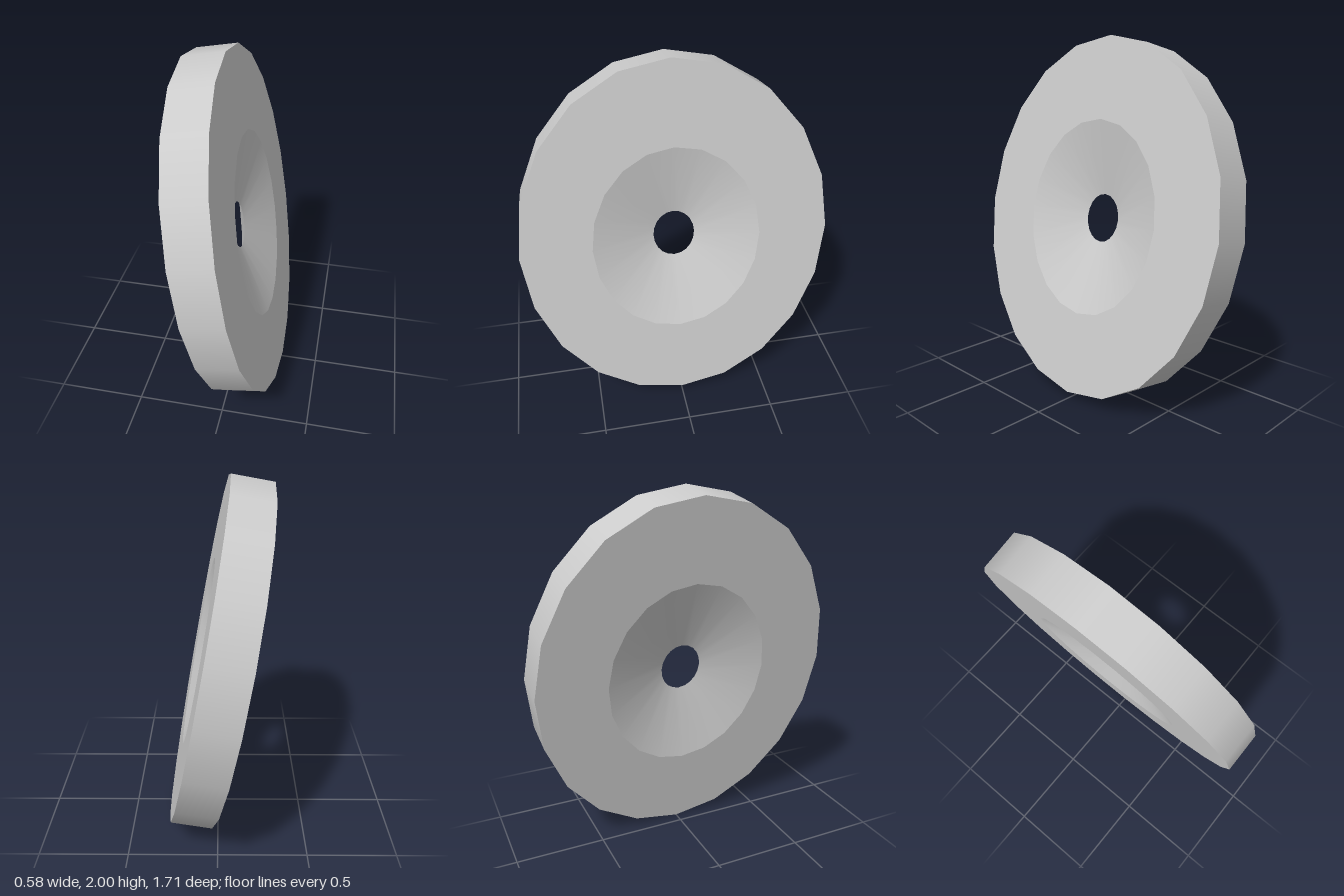
import * as THREE from 'three';

const SIDES = 20;
const HALF_THICKNESS = 0.114;
const HALF_HEIGHT = 0.995;
const HALF_WIDTH = 0.855;
const TILT = THREE.MathUtils.degToRad(10.2);

// Closed cross-section, as (radius fraction, offset along the axis)
const HOLE = 0.136, DISH = 0.545;
const profile = [
  ['rightDish', HOLE, 0],
  ['rightFace', DISH, -HALF_THICKNESS],
  ['rim', 1, -HALF_THICKNESS],
  ['leftFace', 1, HALF_THICKNESS],
  ['leftDish', DISH, HALF_THICKNESS],
  ['end', HOLE, 0],
];

export function createModel() {
  const group = new THREE.Group();
  group.name = 'tiltedDisc';
  const material = new THREE.MeshStandardMaterial({ color: 0xcccccc });

  const disc = new THREE.Group();
  disc.name = 'disc';

  // Each band is its own lathe: smooth around the axis, sharp between bands
  for (let i = 0; i < profile.length - 1; i++) {
    const [name, r0, y0] = profile[i];
    const [, r1, y1] = profile[i + 1];
    const geometry = new THREE.LatheGeometry(
      [new THREE.Vector2(r0, y0), new THREE.Vector2(r1, y1)], SIDES);
    // Lay the axis along x and stretch the circle into an ellipse
    geometry.rotateZ(-Math.PI / 2);
    geometry.scale(1, HALF_HEIGHT, HALF_WIDTH);
    const mesh = new THREE.Mesh(geometry, material);
    mesh.name = name;
    disc.add(mesh);
  }

  // Lean the disc and stand it on the ground
  disc.rotation.z = TILT;
  disc.position.y = HALF_HEIGHT * Math.cos(TILT) + HALF_THICKNESS * Math.sin(TILT);
  group.add(disc);
  return group;
}
